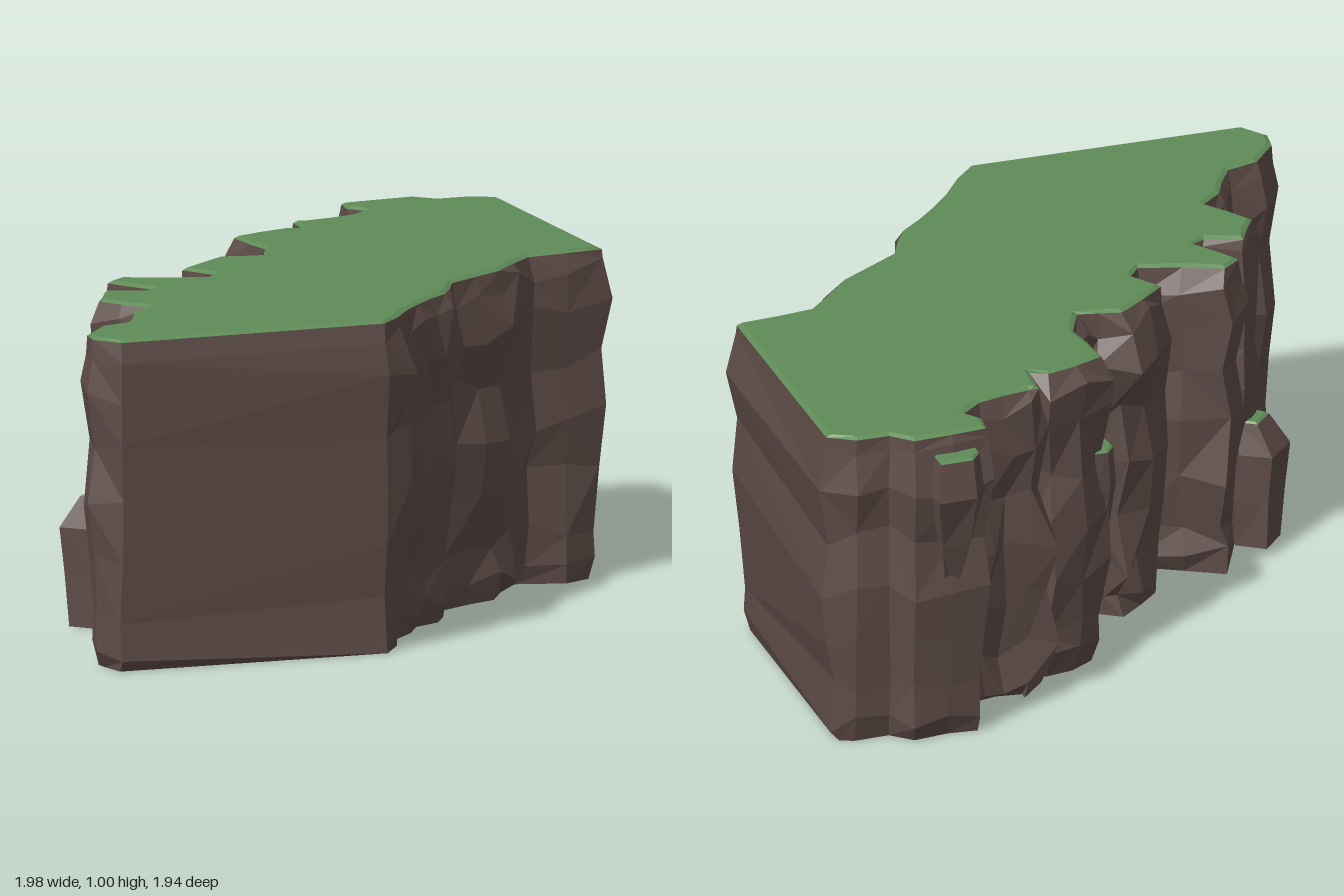
import * as THREE from 'three';

const rock = new THREE.MeshStandardMaterial({ color: 0x5f4d48, flatShading: true });
const grass = new THREE.MeshStandardMaterial({ color: 0x5f8c57, flatShading: true });

let seed = 11;
function rand() {
  seed = (seed * 16807) % 2147483647;
  return seed / 2147483647;
}

// Plateau edge, anticlockwise from above: [x, z, roughness of the rock]
const edge = [
  [-0.91, 0.95, 0.018], [-0.07, 0.945, 0.025], [0.0, 0.87, 0.05], [0.07, 0.77, 0.03],
  [0.27, 0.57, 0.03], [0.35, 0.42, 0.03], [0.55, 0.29, 0.04], [0.71, 0.12, 0.04],
  [0.96, 0.08, 0.015], [0.97, -0.77, 0.01], [0.89, -0.82, 0.015], [0.79, -0.82, 0.015],
  [0.73, -0.88, 0.01], [0.50, -0.86, 0.02], [0.49, -0.79, 0.015], [0.53, -0.74, 0.03],
  [0.46, -0.68, 0.05], [0.29, -0.64, 0.06], [0.26, -0.64, 0.09], [0.25, -0.52, 0.02],
  [0.20, -0.55, 0.05], [0.01, -0.48, 0.04], [0.03, -0.28, 0.03], [-0.02, -0.17, 0.05],
  [-0.15, -0.20, 0.07], [-0.32, -0.06, 0.04], [-0.26, 0.04, 0.01], [-0.30, 0.09, 0.01],
  [-0.54, 0.00, 0.07], [-0.60, 0.05, 0.02], [-0.51, 0.20, 0.01], [-0.55, 0.22, 0.02],
  [-0.66, 0.18, 0.04], [-0.73, 0.31, 0.04], [-0.63, 0.46, 0.02], [-0.70, 0.52, 0.03],
  [-0.78, 0.67, 0.03], [-0.88, 0.70, 0.03], [-0.96, 0.80, 0.02], [-0.97, 0.87, 0.01],
];

// Break up the craggy edges, leave the two long straight sides whole
function subdivide(points) {
  const out = [];
  points.forEach((a, i) => {
    const b = points[(i + 1) % points.length];
    const length = Math.hypot(b[0] - a[0], b[1] - a[1]);
    out.push(a);
    const parts = length > 0.7 ? 1 : Math.ceil(length / 0.13);
    for (let k = 1; k < parts; k++) {
      out.push(a.map((v, c) => v + (b[c] - v) * k / parts + (c < 2 ? (rand() - 0.5) * 0.015 : 0)));
    }
  });
  return out;
}

function outwardNormals(points) {
  const n = points.length;
  return points.map((p, i) => {
    const a = points[(i + n - 1) % n], b = points[(i + 1) % n];
    return new THREE.Vector2(-(b[1] - a[1]), b[0] - a[0]).normalize();
  });
}

// Skin a stack of rings (arrays of Vector3, bottom to top) and cap the ends
function loft(name, rings, material) {
  const n = rings[0].length, index = [];
  for (let r = 0; r < rings.length - 1; r++) {
    for (let i = 0; i < n; i++) {
      const j = (i + 1) % n;
      const a = r * n + i, b = r * n + j, c = b + n, d = a + n;
      if (rand() < 0.5) index.push(a, b, c, a, c, d);
      else index.push(a, b, d, b, c, d);
    }
  }
  const cap = (ring) => THREE.ShapeUtils.triangulateShape(ring.map((p) => new THREE.Vector2(p.x, -p.z)), []);
  const top = (rings.length - 1) * n;
  cap(rings[rings.length - 1]).forEach(([a, b, c]) => index.push(top + a, top + b, top + c));
  cap(rings[0]).forEach(([a, b, c]) => index.push(a, c, b));
  const geometry = new THREE.BufferGeometry().setFromPoints(rings.flat());
  geometry.setIndex(index);
  const flat = geometry.toNonIndexed();
  flat.computeVertexNormals();
  const mesh = new THREE.Mesh(flat, material);
  mesh.name = name;
  return mesh;
}

// Plain ring of the outline at height y, moved out evenly
function rimRing(points, normals, y, offset) {
  return points.map((p, i) => new THREE.Vector3(p[0] + normals[i].x * offset, y, p[1] + normals[i].y * offset));
}

// Rough ring of rock: an overall bulge, softer on the front wall, plus random crags
function rockRing(points, normals, y, bulge) {
  return points.map(([x, z, rough], i) => {
    const n = normals[i];
    const out = 0.03 * bulge * (n.y > 0.9 ? 0.2 : 1) + rough * rand();
    const along = (rand() - 0.5) * rough * 0.6;
    const lift = y === 0 ? 0 : (rand() - 0.5) * 0.07;
    return new THREE.Vector3(x + n.x * out - n.y * along, y + lift, z + n.y * out + n.x * along);
  });
}

// Small rock outcrop with a grassy top; it shrinks towards its first corner, inside the cliff
function outcrop(points, y0, y1, foot, head) {
  const group = new THREE.Group();
  group.name = 'outcrop';
  const [px, pz] = points[0];
  const ring = (y, s, rough) => points.map(([x, z]) => new THREE.Vector3(
    px + (x - px) * s + (rand() - 0.5) * rough, y, pz + (z - pz) * s + (rand() - 0.5) * rough));
  const h = y1 - y0;
  const rim = ring(y1 - 0.006, head, 0);
  group.add(loft('outcropRock', [
    ring(y0, foot, 0.01), ring(y0 + h * 0.4, (1 + foot) / 2, 0.02),
    ring(y0 + h * 0.75, 1, 0.01), rim,
  ], rock));
  group.add(loft('outcropGrass', [rim, ring(y1, head - 0.06, 0)], grass));
  return group;
}

export function createModel() {
  const model = new THREE.Group();
  model.name = 'cliff';
  const points = subdivide(edge);
  const normals = outwardNormals(points);

  // Cliff: height of each rock course and how far it bulges
  const courses = [[0, -1.7], [0.06, -0.8], [0.17, -0.9], [0.33, -0.3], [0.5, 0.3], [0.67, -0.4], [0.83, 0.6], [0.94, 0]];
  const rings = courses.map(([y, bulge]) => rockRing(points, normals, y, bulge));
  const rim = rimRing(points, normals, 0.992, 0);
  rings.push(rim);
  model.add(loft('cliffRock', rings, rock));

  // Grass: thin bevelled sheet over the plateau
  model.add(loft('grassTop', [rim, rimRing(points, normals, 1, -0.015)], grass));

  // Outcrops along the craggy back
  model.add(outcrop([[0.61, -0.82], [0.68, -0.85], [0.68, -0.97], [0.56, -0.965], [0.52, -0.91], [0.52, -0.85]], 0.45, 0.94, 0.25, 0.85));
  model.add(outcrop([[0.06, -0.42], [0.04, -0.5], [-0.01, -0.5], [-0.04, -0.46], [-0.03, -0.36], [0.03, -0.32]], 0.2, 0.69, 0.5, 0.95));
  model.add(outcrop([[-0.64, 0.26], [-0.64, 0.17], [-0.73, 0.11], [-0.82, 0.21], [-0.74, 0.29]], 0, 0.4, 0.85, 0.65));
  model.add(outcrop([[-0.8, 0.74], [-0.77, 0.66], [-0.86, 0.66], [-0.9, 0.69], [-0.88, 0.73]], 0, 0.22, 0.85, 0.8));
  return model;
}
